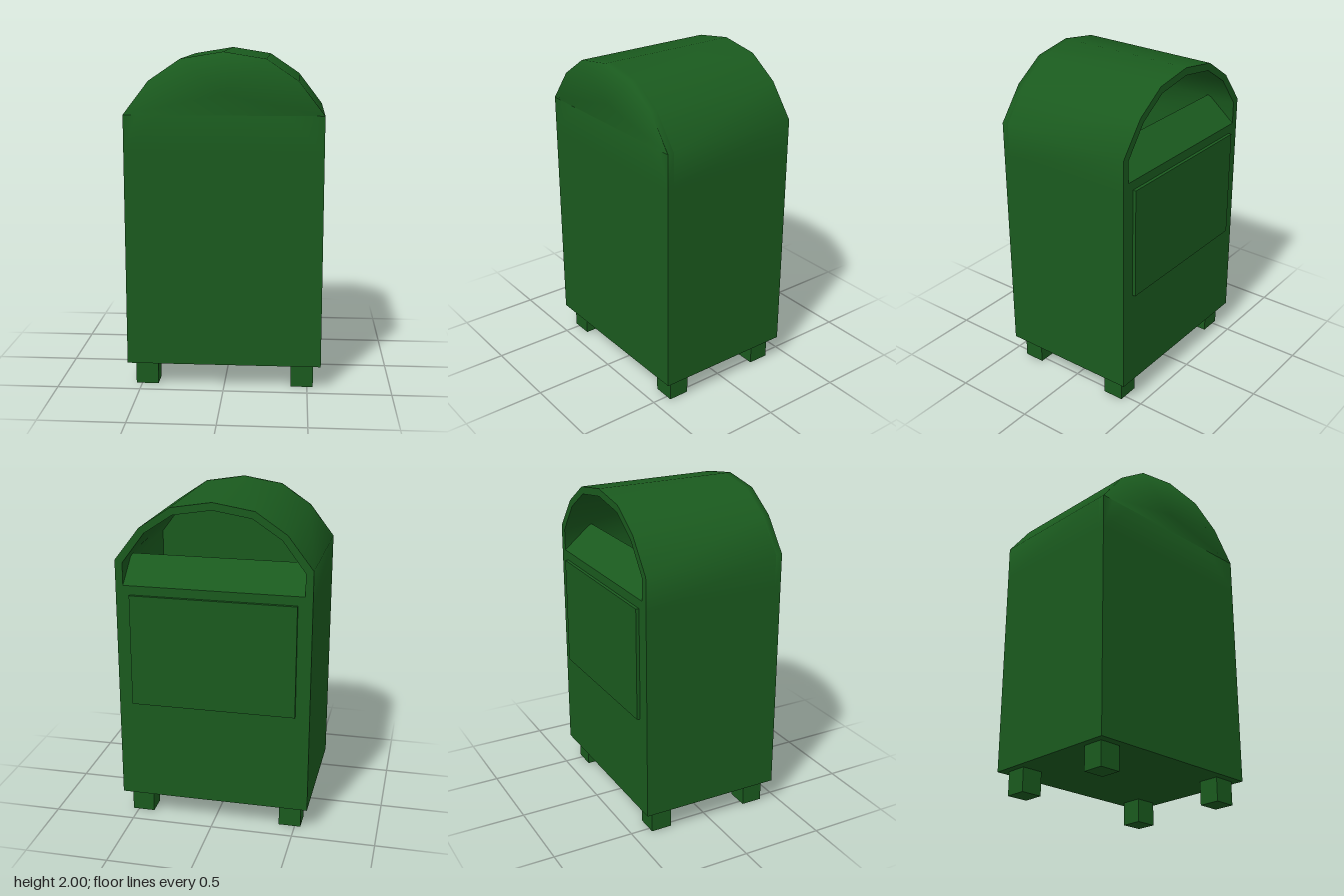
import * as THREE from 'three';
import { toCreasedNormals } from 'three/addons/utils/BufferGeometryUtils.js';

const green = new THREE.MeshStandardMaterial({ color: 0x1a5a1e });

const BACK = -0.43, FRONT = 0.45, WALL = 0.04;
const BASE = 0.145, SPRING = 1.64;

// Right half of the arched outline, from foot to crown
const outerHalf = [[0.58, BASE], [0.58, 1.43], [0.58, SPRING], [0.43, 1.835], [0.245, 1.96], [0, 2]];
const innerHalf = [[0.535, 0.19], [0.535, 1.43], [0.535, 1.625], [0.4, 1.805], [0.23, 1.918], [0, 1.955]];

function mirrored(half) {
  const left = half.slice(0, -1).reverse().map(([x, y]) => [-x, y]);
  return [...half, ...left].map(([x, y]) => new THREE.Vector2(x, y));
}

function extrude(shape, depth) {
  return new THREE.ExtrudeGeometry(shape, { depth, bevelEnabled: false });
}

// Normals at the front edge of the dome lean forwards for a soft transition
function softNormal(x, y) {
  return new THREE.Vector3(x, y - 1.4, 0.5).normalize();
}

function soften(geometry) {
  const { position: p, normal: n } = geometry.attributes;
  for (let i = 0; i < p.count; i++) {
    if (p.getY(i) < SPRING + 0.01 || p.getZ(i) < FRONT - 0.001) continue;
    const v = softNormal(p.getX(i), p.getY(i));
    n.setXYZ(i, v.x, v.y, v.z);
  }
  return geometry;
}

// Fan that closes the dome at the front, shaded as a gentle bulge
function domeFace() {
  const rim = mirrored(outerHalf.slice(2));
  const pos = [0, 1.76, FRONT + 0.001], nor = [0, 0, 1], index = [];
  rim.forEach((p, i) => {
    pos.push(p.x, p.y, FRONT + 0.001);
    nor.push(...softNormal(p.x, p.y).toArray());
    index.push(0, i + 1, ((i + 1) % rim.length) + 1);
  });
  const g = new THREE.BufferGeometry();
  g.setAttribute('position', new THREE.Float32BufferAttribute(pos, 3));
  g.setAttribute('normal', new THREE.Float32BufferAttribute(nor, 3));
  g.setIndex(index);
  return g;
}

export function createModel() {
  const model = new THREE.Group();
  model.name = 'mailbox';

  function add(name, geometry, x = 0, y = 0, z = 0) {
    const mesh = new THREE.Mesh(geometry, green);
    mesh.name = name;
    mesh.position.set(x, y, z);
    model.add(mesh);
    return mesh;
  }

  // Hollow arched shell, open towards the back
  const ring = new THREE.Shape(mirrored(outerHalf));
  ring.holes.push(new THREE.Path(mirrored(innerHalf)));
  const shell = extrude(ring, FRONT - WALL - BACK).translate(0, 0, BACK);
  add('shell', toCreasedNormals(shell, 0.8));

  // Solid front wall and the dome face above it
  const front = extrude(new THREE.Shape(mirrored(outerHalf)), WALL).translate(0, 0, FRONT - WALL);
  add('frontWall', soften(toCreasedNormals(front, 0.8)));
  add('domeFace', domeFace());

  // Back wall, folding inwards into a sloping chute below the opening
  const profile = new THREE.Shape([
    [BACK, 0.19], [BACK, 1.49], [-0.25, 1.64], [-0.25, 1.595], [BACK + WALL, 1.47], [BACK + WALL, 0.19],
  ].map(([z, y]) => new THREE.Vector2(z, y)));
  const width = 1.07;
  add('backWallAndChute', extrude(profile, width).translate(0, 0, -width / 2).rotateY(-Math.PI / 2));

  // Raised plate on the back
  add('backPanel', new THREE.BoxGeometry(0.99, 0.68, 0.03), 0, 1.095, -0.435);

  // Four short square legs
  for (const x of [-0.468, 0.468]) {
    for (const z of [-0.313, 0.335]) {
      add('leg', new THREE.BoxGeometry(0.135, 0.15, 0.13), x, 0.075, z);
    }
  }

  return model;
}
